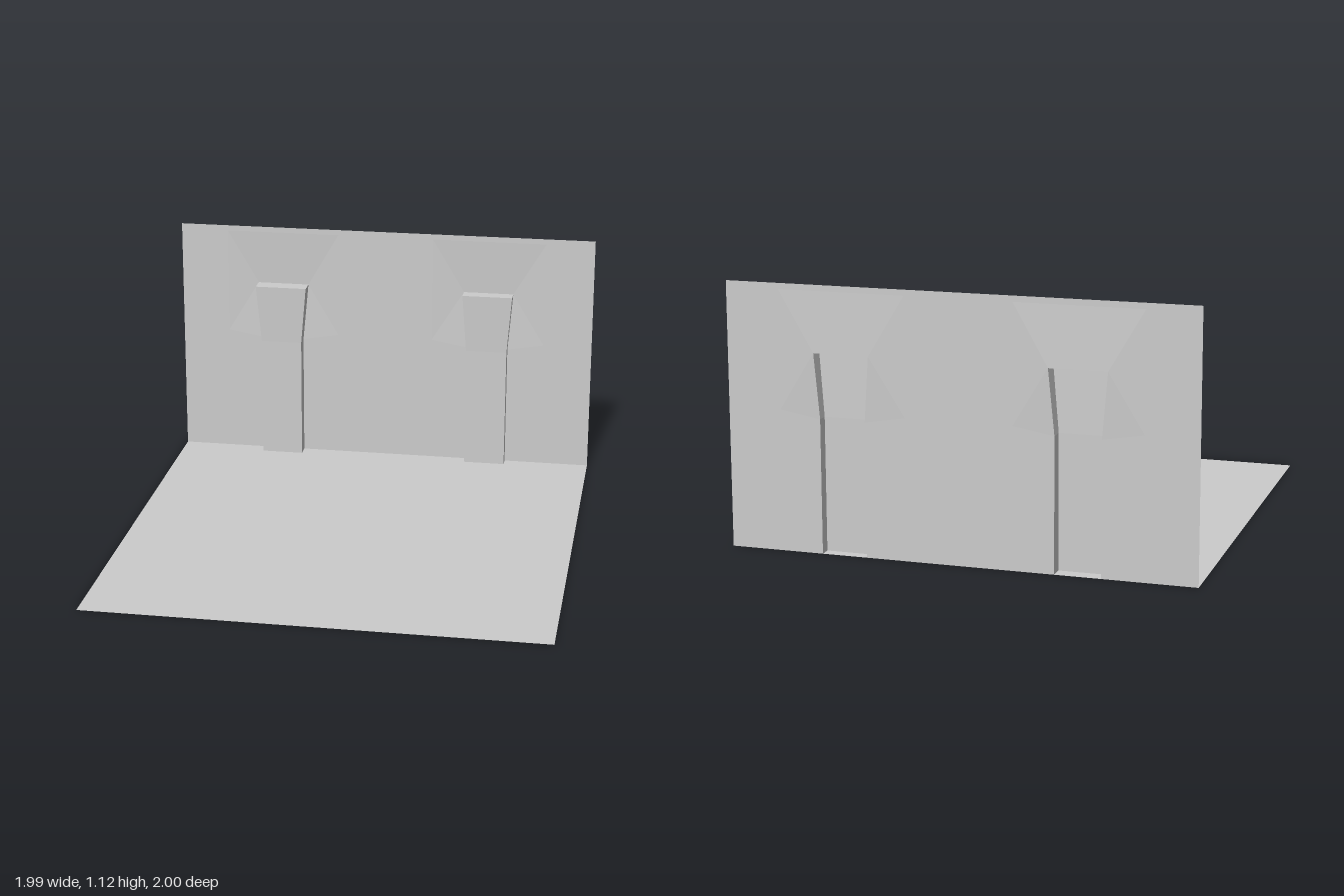
import * as THREE from 'three';

const HALF = 0.993, HEIGHT = 1.125, WALL_Z = -0.992, DENT_Z = -1, NECK = 0.57, TOP = 0.845;

const material = new THREE.MeshStandardMaterial({ color: 0xcccccc, side: THREE.DoubleSide, flatShading: true });

function addMesh(parent, name, geometry) {
  geometry.computeVertexNormals();
  const mesh = new THREE.Mesh(geometry, material);
  mesh.name = name;
  parent.add(mesh);
}

// Surface from corner points and quads or triangles
function facets(points, faces) {
  const geometry = new THREE.BufferGeometry();
  geometry.setAttribute('position', new THREE.Float32BufferAttribute(points.flat(), 3));
  geometry.setIndex(faces.flatMap((f) => (f.length === 4 ? [f[0], f[1], f[2], f[0], f[2], f[3]] : f)));
  return geometry.toNonIndexed();
}

// Each pillar: centre, half widths at foot and top, front depths at foot and top
const pillars = [
  { name: 'rightPillar', x: -0.499, foot: 0.097, top: 0.122, footZ: -0.931, topZ: -0.924 },
  { name: 'leftPillar', x: 0.495, foot: 0.097, top: 0.118, footZ: -0.943, topZ: -0.937 },
];

export function createModel() {
  const model = new THREE.Group();

  // Floor, running under the hollow pillars
  const floor = new THREE.PlaneGeometry(2 * HALF, 1 - WALL_Z);
  floor.rotateX(-Math.PI / 2).translate(0, 0, (1 + WALL_Z) / 2);
  addMesh(model, 'floor', floor);

  // Flat wall, cut out around each pillar and its dented surround
  const outline = [[-HALF, 0]];
  for (const { x, foot } of pillars) {
    outline.push([x - foot, 0], [x - foot, NECK], [x - 0.27, 0.6], [x - 0.27, 1.1],
      [x + 0.27, 1.1], [x + 0.27, 0.6], [x + foot, NECK], [x + foot, 0]);
  }
  outline.push([HALF, 0], [HALF, HEIGHT], [-HALF, HEIGHT]);
  const wall = new THREE.ShapeGeometry(new THREE.Shape(outline.map(([x, y]) => new THREE.Vector2(x, y))));
  wall.translate(0, 0, WALL_Z);
  addMesh(model, 'backWall', wall);

  for (const { name, x, foot, top, footZ, topZ } of pillars) {
    // Wall surround, pressed back slightly at the pillar's upper corners
    addMesh(model, name + 'Surround', facets([
      [x - foot, NECK, WALL_Z], [x - 0.27, 0.6, WALL_Z], [x - 0.27, 1.1, WALL_Z], [x + 0.27, 1.1, WALL_Z],
      [x + 0.27, 0.6, WALL_Z], [x + foot, NECK, WALL_Z], [x + top, TOP, DENT_Z], [x - top, TOP, DENT_Z],
    ], [[0, 7, 1], [1, 7, 2], [2, 7, 6, 3], [3, 6, 4], [4, 6, 5]]));

    // Hollow pillar: straight shaft, flared upper part and flat cap, open behind
    const points = [[0, foot, footZ, WALL_Z], [NECK, foot, footZ, WALL_Z], [TOP, top, topZ, DENT_Z]]
      .flatMap(([y, w, front, back]) => [[x - w, y, back], [x - w, y, front], [x + w, y, front], [x + w, y, back]]);
    const faces = [[8, 9, 10, 11]];
    for (const row of [0, 4]) {
      for (let i = row; i < row + 3; i++) faces.push([i, i + 1, i + 5, i + 4]);
    }
    addMesh(model, name, facets(points, faces));
  }
  return model;
}
